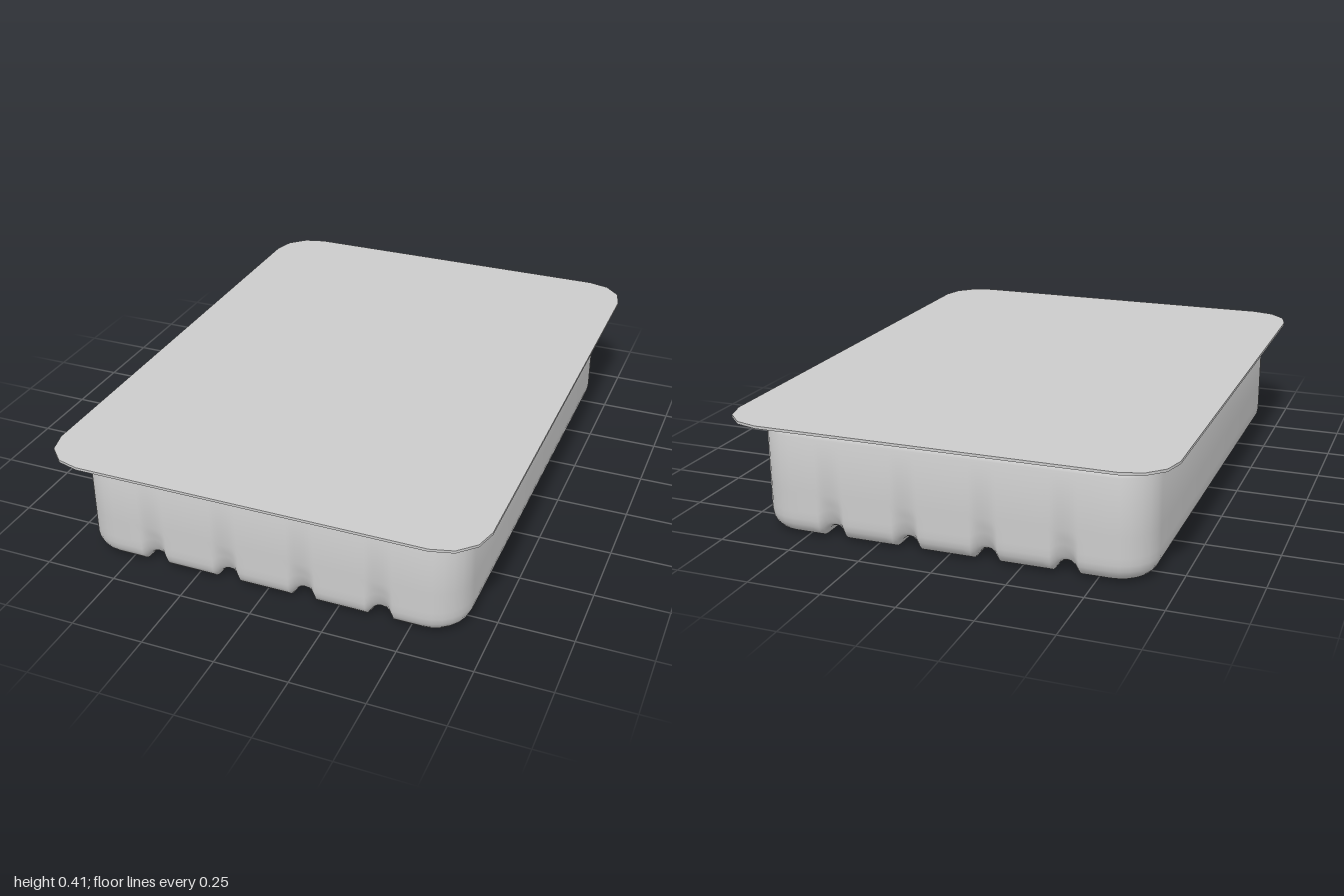
import * as THREE from 'three';
import { toCreasedNormals } from 'three/addons/utils/BufferGeometryUtils.js';

// Groove cross-section: [offset from its centre line, height above the floor]
const GROOVE = [[-0.07, 0], [-0.047, 0], [-0.038, 0.012], [-0.028, 0.027], [-0.015, 0.037], [0, 0.04],
  [0.015, 0.037], [0.028, 0.027], [0.038, 0.012], [0.047, 0], [0.07, 0]];
const CENTRES = [0.4, 0.135, -0.135, -0.4];

// Points along the end walls, from +x to -x: [x, groove height]
const endSamples = CENTRES.flatMap((c) => GROOVE.map(([o, h]) => [c - o, h]));

// Rounded rectangle as [x, z, groove height], symmetric front to back
function ring(hx, hz, r, segs, samples) {
  const half = [];
  const arc = (cx, from) => {
    for (let i = 0; i <= segs; i++) {
      const a = from + (i / segs) * Math.PI / 2;
      half.push([cx + r * Math.cos(a), hz - r + r * Math.sin(a), 0]);
    }
  };
  arc(hx - r, 0);
  for (const [x, h] of samples) half.push([x, hz, h]);
  arc(r - hx, Math.PI / 2);
  return [...half, ...half.map(([x, z, h]) => [x, -z, h]).reverse()];
}

// Skin over stacked rings; levels are [halfX, halfZ, radius, y] from bottom to top
function loft(levels, segs, samples, { capBottom, capTop, deform }) {
  const pos = [], idx = [];
  const quad = (a, b, c, d) => idx.push(a, b, c, a, c, d);
  let n = 0;
  for (const [hx, hz, r, y] of levels) {
    const pts = ring(hx, hz, r, segs, samples);
    n = pts.length;
    for (const [x, z, h] of pts) pos.push(...(deform ? deform(x, y, z, h) : [x, y, z]));
  }
  for (let k = 0; k < levels.length - 1; k++) {
    for (let i = 0; i < n; i++) {
      const j = (i + 1) % n, lo = k * n, hi = lo + n;
      quad(lo + i, hi + i, hi + j, lo + j);
    }
  }
  // Caps are strips running from the front edge to the back edge
  const top = (levels.length - 1) * n;
  for (let i = 0; i < n / 2 - 1; i++) {
    if (capBottom) quad(i, i + 1, n - 2 - i, n - 1 - i);
    if (capTop) quad(top + i, top + n - 1 - i, top + n - 2 - i, top + i + 1);
  }
  const geo = new THREE.BufferGeometry();
  geo.setAttribute('position', new THREE.Float32BufferAttribute(pos, 3));
  geo.setIndex(idx);
  return toCreasedNormals(geo, 0.85);
}

export function createModel() {
  const group = new THREE.Group();
  const material = new THREE.MeshStandardMaterial({ color: 0xcccccc, side: THREE.DoubleSide });
  const add = (name, geo) => {
    const mesh = new THREE.Mesh(geo, material);
    mesh.name = name;
    group.add(mesh);
  };

  // Tray body: filleted floor edge, straight walls, small tuck under the rim
  const HX = 0.672, HZ = 0.897, R = 0.13, F = 0.065;
  const levels = [];
  for (let i = 0; i <= 5; i++) {
    const a = (i / 5) * Math.PI / 2, inset = F * (1 - Math.sin(a));
    levels.push([HX - inset, HZ - inset, R - inset, F * (1 - Math.cos(a))]);
  }
  for (const y of [0.09, 0.12, 0.16, 0.35]) levels.push([HX, HZ, R, y]);
  levels.push([HX - 0.006, HZ - 0.006, R - 0.006, 0.366], [HX - 0.015, HZ - 0.015, R - 0.015, 0.374]);

  // Grooves lift the floor and fade out as shallow dents up the end walls
  const deform = (x, y, z, h) => {
    const fade = Math.max(0, 1 - y / 0.16);
    return [x, y + h * fade, z - Math.sign(z) * h * 0.7 * fade * Math.min(1, y / 0.04)];
  };
  add('trayBody', loft(levels, 6, endSamples, { capBottom: true, deform }));

  // Flared rim with a thin edge and a flat sealed top
  add('rimAndLid', loft([
    [0.657, 0.882, 0.115, 0.372],
    [0.672, 0.9, 0.12, 0.383],
    [0.7, 0.94, 0.13, 0.394],
    [0.745, 1.0, 0.15, 0.403],
    [0.745, 1.0, 0.15, 0.412],
  ], 3, [], { capTop: true }));

  return group;
}
